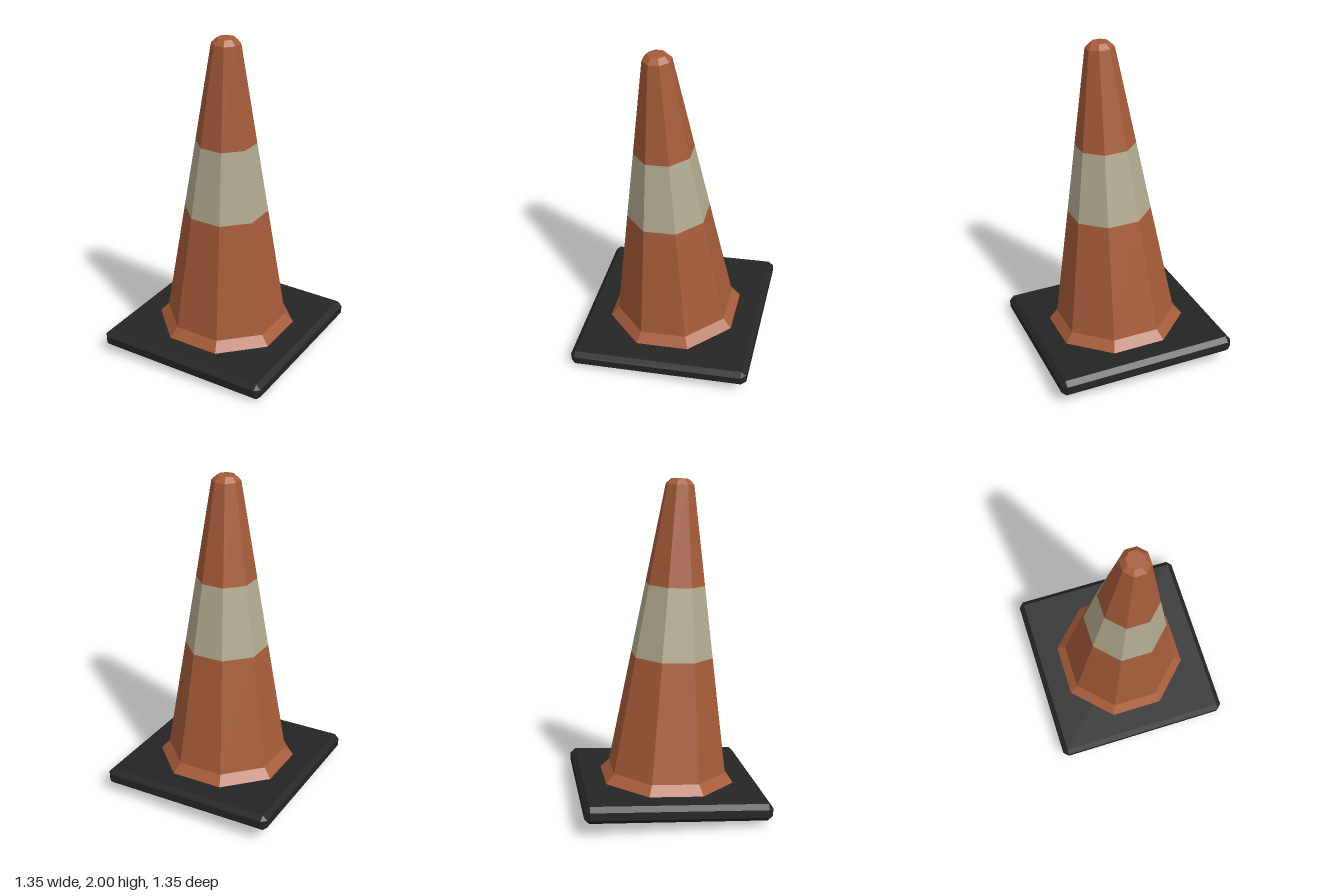
import * as THREE from 'three';
import { ConvexGeometry } from 'three/addons/geometries/ConvexGeometry.js';

const flat = (name, color) => new THREE.MeshStandardMaterial({ name, color, flatShading: true });

export function createModel() {
  const orange = flat('orange plastic', 0xa65c3a);
  const cream = flat('cream band', 0xb3ab90);
  const black = flat('black rubber', 0x252525);

  const cone = new THREE.Group();
  cone.name = 'trafficCone';

  const add = (name, geometry, material) => {
    const mesh = new THREE.Mesh(geometry, material);
    mesh.name = name;
    cone.add(mesh);
    return mesh;
  };

  // Square base slab with bevelled edges, centred on the pivot
  const inner = 0.53, outer = 0.56, half = 0.052, side = 0.024;
  const points = [];
  for (const sx of [-1, 1]) for (const sy of [-1, 1]) for (const sz of [-1, 1]) {
    points.push(
      new THREE.Vector3(sx * inner, sy * half, sz * inner),
      new THREE.Vector3(sx * outer, sy * side, sz * inner),
      new THREE.Vector3(sx * inner, sy * side, sz * outer),
    );
  }
  add('base', new ConvexGeometry(points), black);

  // Eight-sided sections stacked along the axis: bottom, top, radii
  const section = (name, y0, y1, r0, r1, material) => {
    const geometry = new THREE.CylinderGeometry(r1, r0, y1 - y0, 8, 1, true, Math.PI / 8);
    add(name, geometry, material).position.y = (y0 + y1) / 2;
  };
  section('flange', 0.045, 0.11, 0.435, 0.375, orange);
  section('lowerBody', 0.11, 0.83, 0.375, 0.257, orange);
  section('reflectiveBand', 0.83, 1.27, 0.257, 0.185, cream);
  section('upperBody', 1.27, 1.87, 0.185, 0.087, orange);
  section('tipBevel', 1.87, 1.9, 0.087, 0.055, orange);

  // Flat tip
  const tip = add('tip', new THREE.CircleGeometry(0.055, 8, Math.PI / 8), orange);
  tip.rotation.x = -Math.PI / 2;
  tip.position.y = 1.9;

  // Turn the cone about its axis, then lean it slightly
  const up = new THREE.Vector3(0, 1, 0);
  const lean = new THREE.Vector3(-0.0435, 1, 0.0435).normalize();
  const turn = new THREE.Quaternion().setFromAxisAngle(up, THREE.MathUtils.degToRad(14.2));
  cone.quaternion.setFromUnitVectors(up, lean).multiply(turn);
  cone.position.y = 0.097;

  const model = new THREE.Group();
  model.name = 'model';
  model.add(cone);
  return model;
}
